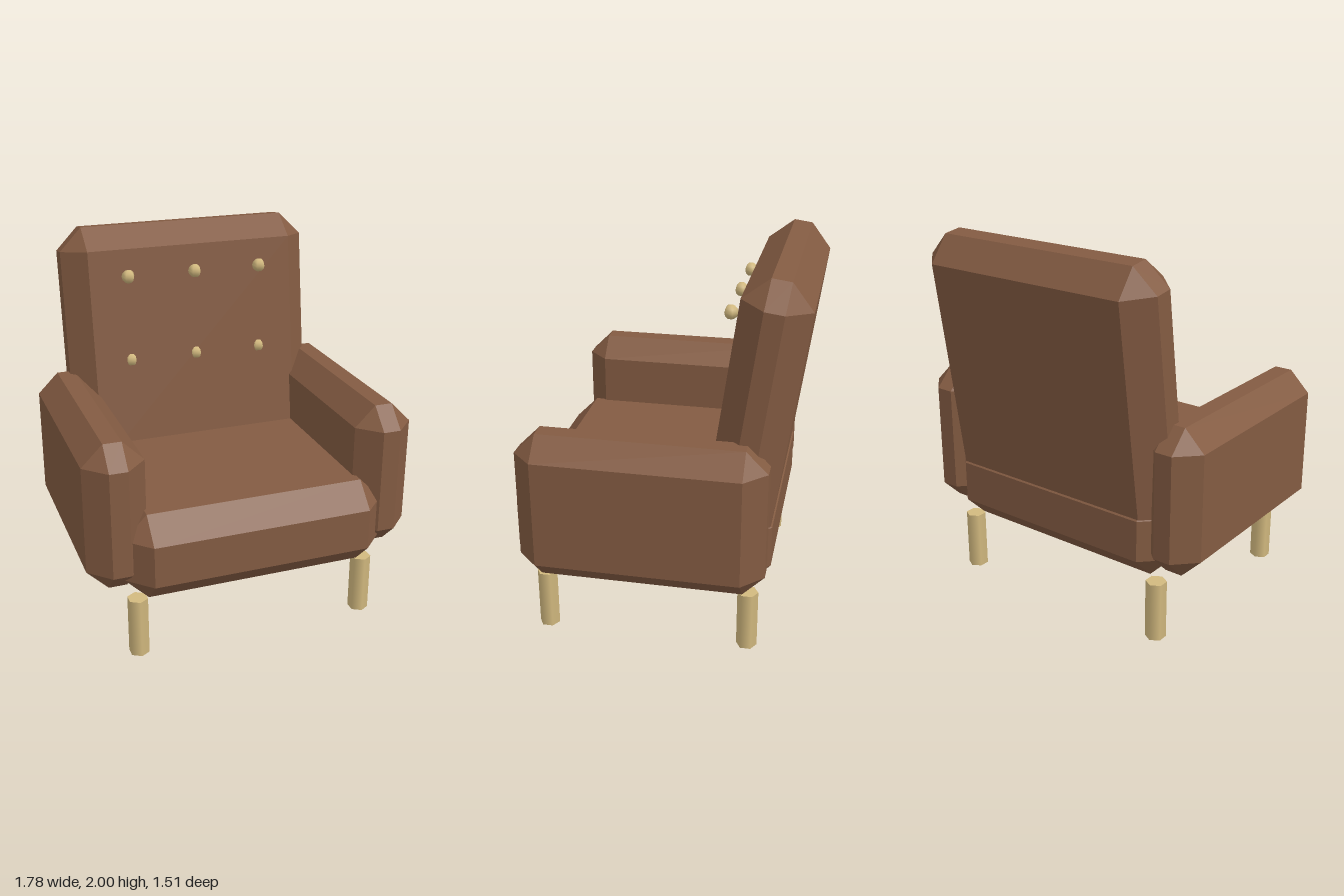
import * as THREE from 'three';
import { ConvexGeometry } from 'three/addons/geometries/ConvexGeometry.js';

const upholstery = new THREE.MeshStandardMaterial({ color: 0x835b42 });
upholstery.name = 'brown upholstery';
const brass = new THREE.MeshStandardMaterial({ color: 0xd2b97f });
brass.name = 'pale wood';

// Box with every edge cut at 45 degrees and triangular corners
function chamferBox(w, h, d, c) {
  const half = [w / 2, h / 2, d / 2];
  const points = [];
  for (const sx of [-1, 1]) for (const sy of [-1, 1]) for (const sz of [-1, 1]) {
    for (let axis = 0; axis < 3; axis++) {
      const [x, y, z] = half.map((v, i) => (i === axis ? v : v - c));
      points.push(new THREE.Vector3(sx * x, sy * y, sz * z));
    }
  }
  return new ConvexGeometry(points);
}

export function createModel() {
  const chair = new THREE.Group();
  chair.name = 'armchair';

  function add(name, geometry, material, x, y, z) {
    const mesh = new THREE.Mesh(geometry, material);
    mesh.name = name;
    mesh.position.set(x, y, z);
    chair.add(mesh);
    return mesh;
  }

  // Seat cushion
  add('seat', chamferBox(1.425, 0.475, 1.36, 0.125), upholstery, 0, 0.578, 0.08);

  // Backrest, leaning back
  const back = add('backrest', chamferBox(1.43, 1.45, 0.35, 0.125), upholstery, 0, 1.275, -0.497);
  back.rotation.x = -0.14;

  // Arms and legs, mirrored
  const armGeometry = chamferBox(0.32, 0.8, 1.275, 0.112);
  const legGeometry = new THREE.CylinderGeometry(0.055, 0.055, 0.325, 6);
  for (const side of [-1, 1]) {
    const label = side > 0 ? 'left' : 'right';
    add(label + 'Arm', armGeometry, upholstery, side * 0.732, 0.8, 0.047);
    add(label + 'FrontLeg', legGeometry, brass, side * 0.637, 0.1625, 0.595);
    add(label + 'BackLeg', legGeometry, brass, side * 0.637, 0.1625, -0.492);
  }

  // Two rows of buttons
  const buttonGeometry = new THREE.SphereGeometry(0.038, 5, 6).rotateY(-Math.PI / 2);
  for (const y of [1.28, 1.758]) {
    for (const x of [-0.383, 0, 0.383]) add('button', buttonGeometry, brass, x, y, -0.336);
  }

  return chair;
}
